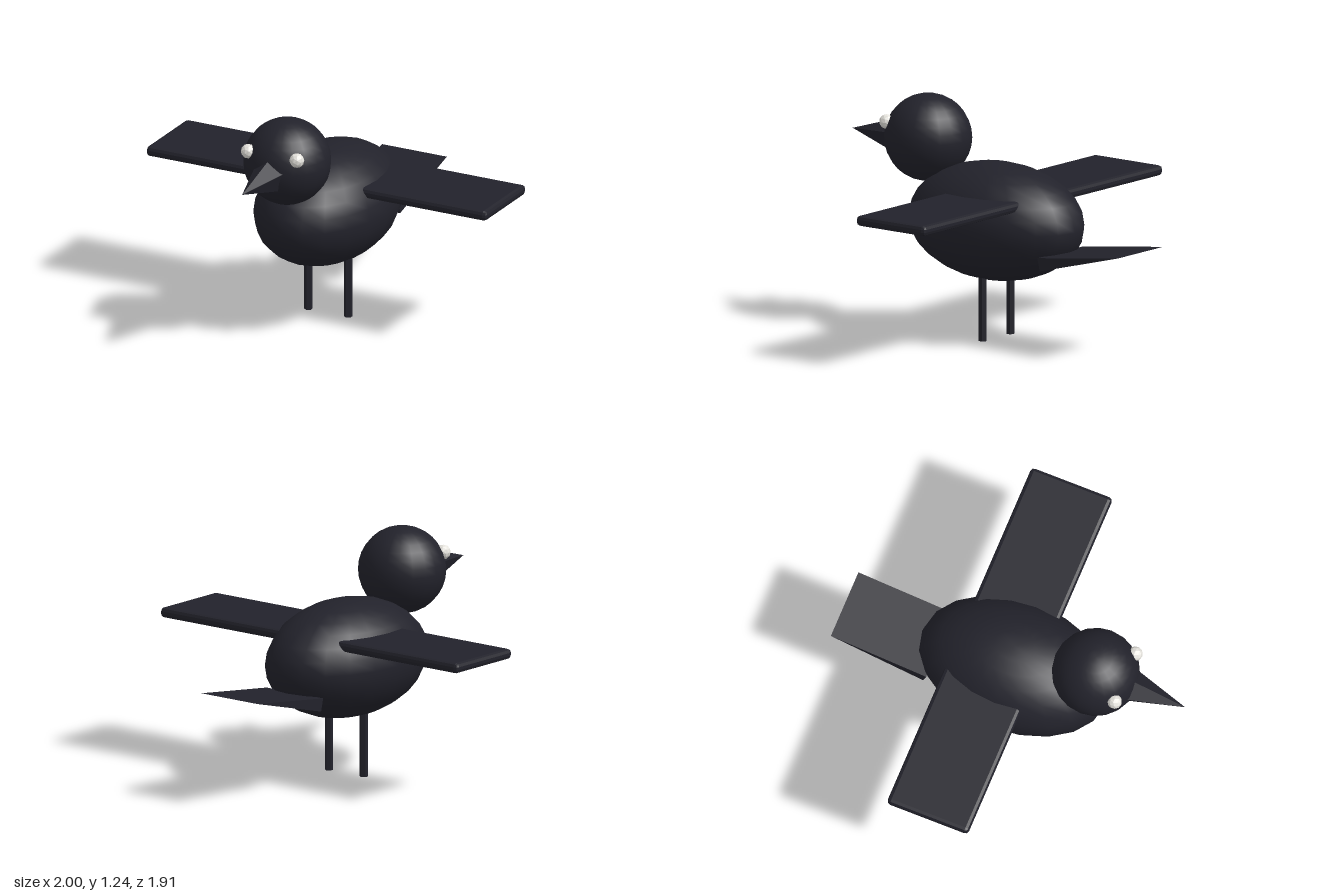
import * as THREE from 'three';
import { RoundedBoxGeometry } from 'three/addons/geometries/RoundedBoxGeometry.js';

export function createModel() {
  const bird = new THREE.Group();
  bird.name = 'bird';

  const plumage = new THREE.MeshStandardMaterial({ color: 0x22222b });
  plumage.name = 'dark plumage';
  const facets = new THREE.MeshStandardMaterial({ color: 0x22222b, flatShading: true });
  facets.name = 'dark plumage faceted';
  const eyeWhite = new THREE.MeshStandardMaterial({ color: 0xe4e2dc, flatShading: true });
  eyeWhite.name = 'eye white';

  const add = (name, geometry, material, x, y, z) => {
    const mesh = new THREE.Mesh(geometry, material);
    mesh.name = name;
    mesh.position.set(x, y, z);
    bird.add(mesh);
    return mesh;
  };

  // Egg-shaped body and round head
  add('body', new THREE.SphereGeometry(1, 20, 14), plumage, 0, 0.62, 0).scale.set(0.345, 0.31, 0.52);
  add('head', new THREE.SphereGeometry(0.23, 20, 16), plumage, 0, 1.005, 0.455);

  // Five-sided beak, one ridge on top
  const beak = new THREE.ConeGeometry(0.093, 0.305, 5);
  beak.rotateY(Math.PI).rotateX(Math.PI / 2);
  add('beak', beak, facets, 0, 0.987, 0.803);

  // Wedge tail: thick at the body, sharp at the rear edge
  const profile = new THREE.Shape([
    new THREE.Vector2(0.437, 0.437),
    new THREE.Vector2(0.955, 0.573),
    new THREE.Vector2(0.42, 0.505),
  ]);
  const tail = new THREE.ExtrudeGeometry(profile, { depth: 0.38, bevelEnabled: false });
  tail.translate(0, 0, -0.19).rotateY(Math.PI / 2);
  add('tail', tail, facets, 0, 0, 0);

  // Mirrored wings, legs and eyes
  for (const [side, s] of [['left', 1], ['right', -1]]) {
    add(side + 'Wing', new RoundedBoxGeometry(0.85, 0.055, 0.455, 1, 0.02), facets, s * 0.575, 0.763, -0.085);
    add(side + 'Leg', new THREE.CylinderGeometry(0.022, 0.022, 0.4, 6), facets, s * 0.117, 0.2, 0);
    add(side + 'Eye', new THREE.IcosahedronGeometry(0.039, 1), eyeWhite, s * 0.143, 1.088, 0.618);
  }
  return bird;
}
